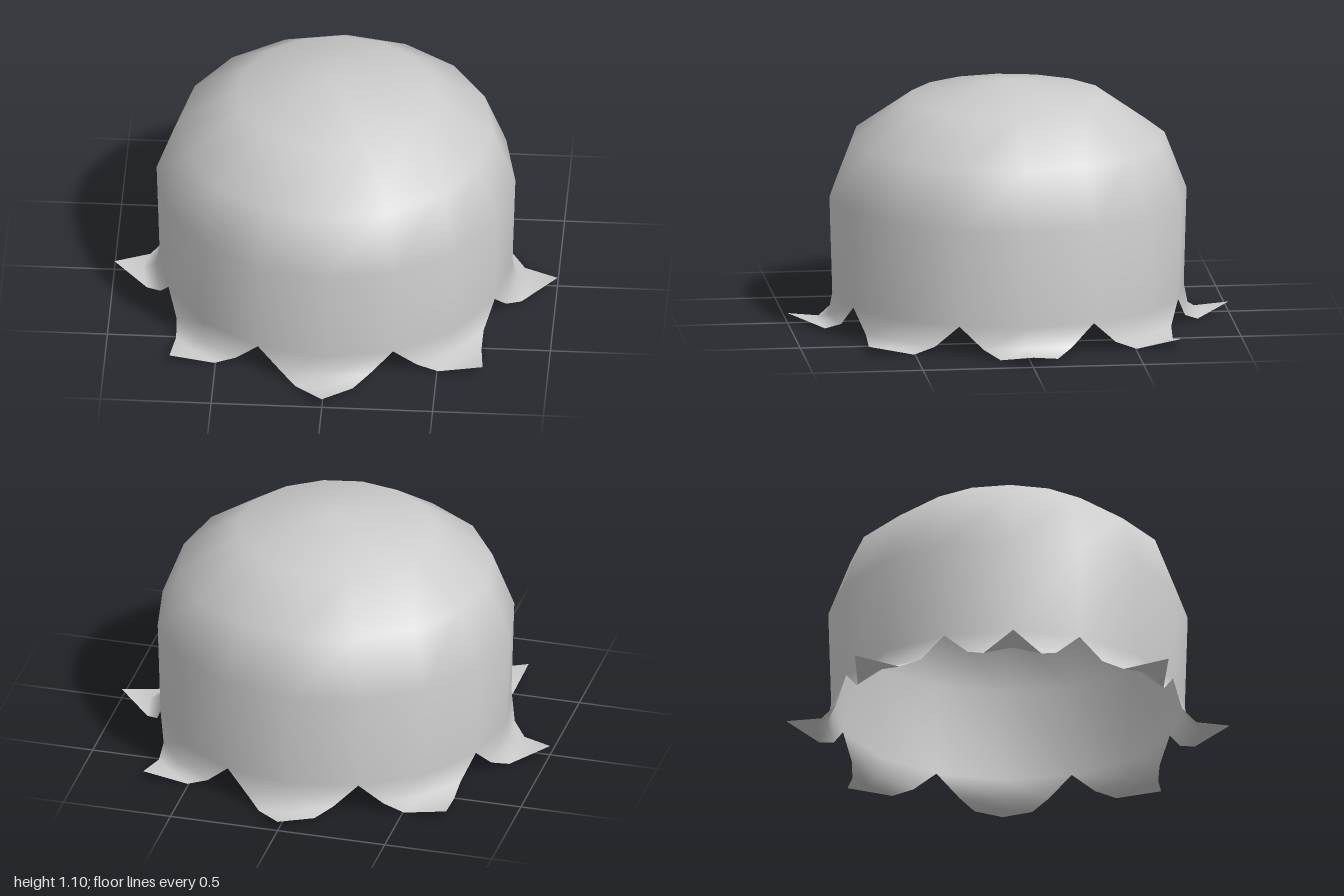
import * as THREE from 'three';
import { mergeVertices } from 'three/addons/utils/BufferGeometryUtils.js';

const SIDES = 16;
const PETALS = 8;

// Dome profile from hem to crown: [radius, height]
const PROFILE = [[0.797, 0.137], [0.81, 0.58], [0.71, 0.84], [0.45, 1.023], [0, 1.105]];

// Petal rows from hem to tip: [edge outward, edge sideways, edge height, centre outward, centre height]
const PETAL_ROWS = [
  [0.736, 0.305, 0.137, 0.797, 0.137],
  [0.78, 0.2, 0.037, 0.815, 0.045],
  [0.845, 0.13, 0.002, 0.87, 0.018],
];
const TIP = [1, 0, 0.047];

// Turns an outward / sideways / height position about the vertical axis
function place(out, side, y, angle) {
  const s = Math.sin(angle), c = Math.cos(angle);
  return [out * s + side * c, y, out * c - side * s];
}

export function createModel() {
  const group = new THREE.Group();
  const grey = new THREE.MeshStandardMaterial({ color: 0xcccccc, side: THREE.DoubleSide });
  grey.name = 'light grey';

  const positions = [];
  const tri = (a, b, c) => positions.push(...a, ...b, ...c);
  const quad = (a, b, c, d) => { tri(a, b, c); tri(a, c, d); };

  // Domed wall
  for (let i = 0; i < SIDES; i++) {
    const a0 = (i / SIDES) * Math.PI * 2;
    const a1 = ((i + 1) / SIDES) * Math.PI * 2;
    for (let j = 0; j < PROFILE.length - 1; j++) {
      const [r0, y0] = PROFILE[j];
      const [r1, y1] = PROFILE[j + 1];
      const bl = place(r0, 0, y0, a0), br = place(r0, 0, y0, a1);
      const tl = place(r1, 0, y1, a0), tr = place(r1, 0, y1, a1);
      if (r1 === 0) tri(bl, br, tl);
      else quad(bl, br, tr, tl);
    }
  }

  // Flared petals around the hem, pointed and slightly upturned
  for (let i = 0; i < PETALS; i++) {
    const a = (i / PETALS) * Math.PI * 2;
    const rows = PETAL_ROWS.map(([eo, es, ey, co, cy]) => ({
      left: place(eo, -es, ey, a),
      mid: place(co, 0, cy, a),
      right: place(eo, es, ey, a),
    }));
    for (let j = 0; j < rows.length - 1; j++) {
      const up = rows[j], low = rows[j + 1];
      quad(low.left, low.mid, up.mid, up.left);
      quad(low.mid, low.right, up.right, up.mid);
    }
    const last = rows[rows.length - 1];
    const tip = place(...TIP, a);
    tri(last.left, tip, last.mid);
    tri(tip, last.right, last.mid);
  }

  // Weld shared points so the whole shell shades smoothly
  let geometry = new THREE.BufferGeometry();
  geometry.setAttribute('position', new THREE.Float32BufferAttribute(positions, 3));
  geometry = mergeVertices(geometry, 0.003);
  geometry.computeVertexNormals();

  const bell = new THREE.Mesh(geometry, grey);
  bell.name = 'petalledBell';
  group.add(bell);
  return group;
}
